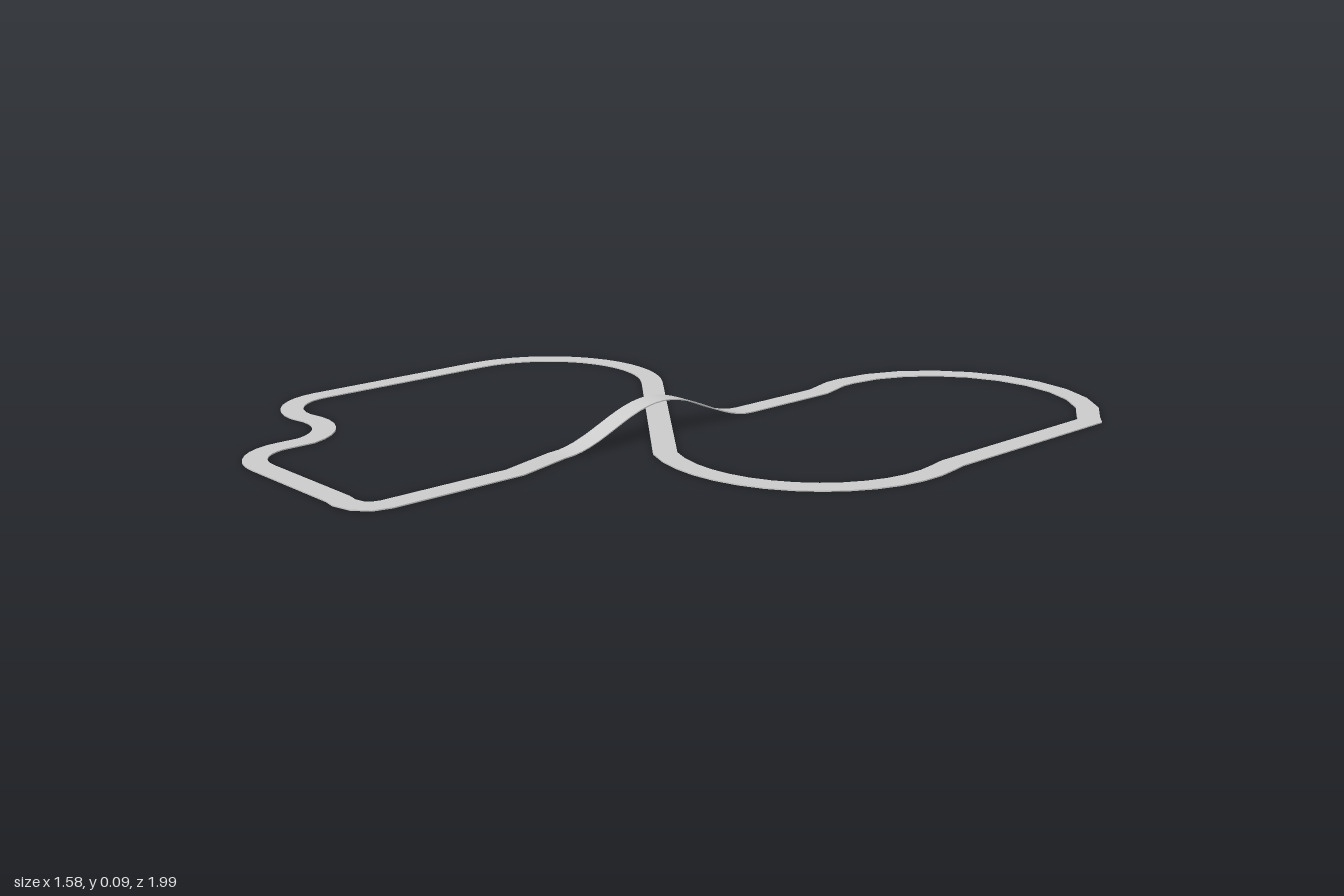
import * as THREE from 'three';

const HALF = 0.0285; // half the road width
const THICK = 0.003; // thickness of the road slab
const BRIDGE = { x: 0.09, z0: 0.41, z1: -0.2, height: 0.083, steps: 24 };

// Points [x, y, z] on a flat arc; angles in degrees, from +x towards +z
function arc(cx, cz, r, from, to, n) {
  return Array.from({ length: n + 1 }, (_, i) => {
    const a = THREE.MathUtils.degToRad(from + ((to - from) * i) / n);
    return [cx + r * Math.cos(a), 0, cz + r * Math.sin(a)];
  });
}

// Smooth hump carrying the road over the crossing
function hump() {
  const { x, z0, z1, height, steps } = BRIDGE;
  return Array.from({ length: steps + 1 }, (_, i) => {
    const t = i / steps;
    return [x, (height / 2) * (1 - Math.cos(2 * Math.PI * t)), z0 + (z1 - z0) * t];
  });
}

// The two road edges for each point of the closed centre line, mitred at bends
function roadEdges(path) {
  const n = path.length;
  const heading = (p, q) => new THREE.Vector2(q[0] - p[0], q[2] - p[2]).normalize();
  return path.map((p, i) => {
    const a = heading(path[(i + n - 1) % n], p);
    const b = heading(p, path[(i + 1) % n]);
    const t = a.clone().add(b).normalize();
    const w = HALF / t.dot(a);
    return [
      [p[0] - t.y * w, p[1], p[2] + t.x * w],
      [p[0] + t.y * w, p[1], p[2] - t.x * w],
    ];
  });
}

// Thin slab along consecutive edge pairs: top, underside and two sides, each a strip
function slab(name, pairs, material) {
  const raise = ([x, y, z]) => [x, y + THICK, z];
  const strips = [
    pairs.map(([a, b]) => [raise(a), raise(b)]),
    pairs.map(([a, b]) => [b, a]),
    pairs.map(([a]) => [a, raise(a)]),
    pairs.map(([, b]) => [raise(b), b]),
  ];
  const index = [];
  strips.forEach((strip, s) => {
    for (let i = 0; i < strip.length - 1; i++) {
      const k = (s * strip.length + i) * 2;
      index.push(k, k + 2, k + 3, k, k + 3, k + 1);
    }
  });
  const geometry = new THREE.BufferGeometry();
  geometry.setAttribute('position', new THREE.Float32BufferAttribute(strips.flat(3), 3));
  geometry.setIndex(index);
  geometry.computeVertexNormals();
  const mesh = new THREE.Mesh(geometry, material);
  mesh.name = name;
  return mesh;
}

export function createModel() {
  const bridge = hump();
  const path = [
    ...bridge,
    // back straight and the large back loop
    [0.09, 0, -0.48], [0.064, 0, -0.575],
    ...arc(0.412, -0.62, 0.35, 180, 332, 10),
    [0.745, 0, -0.755], [0.745, 0, -0.21],
    ...arc(0.41, -0.095, 0.351, -13, 118, 14),
    // diagonal under the bridge, then the left-hand bend
    ...arc(-0.473, 0, 0.294, -51, -180, 16),
    // chicane
    ...arc(-0.615, 0.51, 0.152, 180, 90, 8),
    ...arc(-0.56, 0.81, 0.155, -105, -15, 8),
    ...arc(-0.285, 0.835, 0.125, 180, 90, 8),
    // tight front corner and the run up to the bridge
    [0.03, 0, 0.96], [0.06, 0, 0.965], [0.098, 0, 0.957], [0.122, 0, 0.937], [0.131, 0, 0.905],
    [0.131, 0, 0.565],
  ];
  const edges = roadEdges(path);
  const last = bridge.length - 1;

  const material = new THREE.MeshStandardMaterial({ color: 0xcccccc, side: THREE.DoubleSide });
  const group = new THREE.Group();
  group.name = 'raceTrack';
  group.add(slab('bridge', edges.slice(0, last + 1), material));
  group.add(slab('road', [...edges.slice(last), edges[0]], material));
  return group;
}
